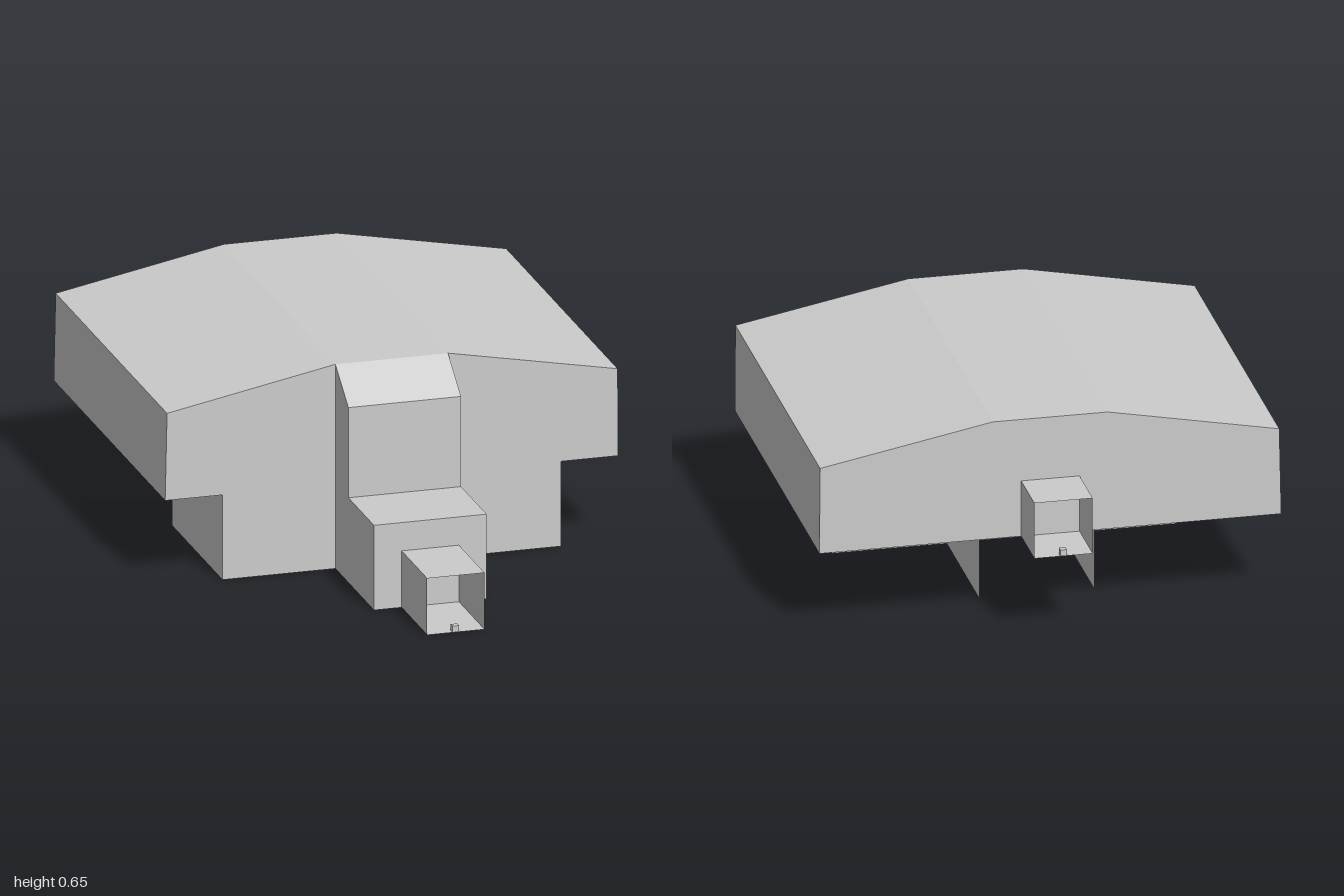
import * as THREE from 'three';

const solid = new THREE.MeshStandardMaterial({ color: 0xcccccc, flatShading: true });
const thin = new THREE.MeshStandardMaterial({ color: 0xcccccc, flatShading: true, side: THREE.DoubleSide });

function extrude(points, depth) {
  const shape = new THREE.Shape(points.map(([x, y]) => new THREE.Vector2(x, y)));
  return new THREE.ExtrudeGeometry(shape, { depth, bevelEnabled: false });
}

// Box given by its limits on each axis
function box(x0, x1, y0, y1, z0, z1) {
  return new THREE.BoxGeometry(x1 - x0, y1 - y0, z1 - z0)
    .translate((x0 + x1) / 2, (y0 + y1) / 2, (z0 + z1) / 2);
}

// Box without its two z faces: a thin square passage
function passage(...limits) {
  const g = box(...limits);
  g.setIndex(Array.from(g.index.array).slice(0, 24));
  return g;
}

export function createModel() {
  const group = new THREE.Group();
  const add = (name, geometry, material = solid) => {
    const mesh = new THREE.Mesh(geometry, material);
    mesh.name = name;
    group.add(mesh);
  };

  const ground = 0, floor = 0.27, front = 0.335, back = -0.82;
  const baseBack = -0.19, rampBack = -0.64, half = 0.177;

  // Main hall with its three-sided roof
  add('mainHall', extrude([
    [-0.712, floor], [0.712, floor], [0.71, 0.547], [half, 0.65], [-half, 0.65], [-0.706, 0.547],
  ], front - back).translate(0, 0, back));

  // Narrower base under the front half
  add('base', box(-0.532, 0.532, ground, floor, baseBack, front));

  // Stepped porch with sloped top, profile in z and y
  add('porch', extrude([
    [front, ground], [0.735, ground], [0.735, floor], [0.47, floor], [0.47, 0.557], [front, 0.65],
  ], half * 2).rotateY(-Math.PI / 2).translate(half, 0, 0));

  // Open entrance passages at front and back, each with a small sill block
  add('frontPassage', passage(-0.09, 0.09, ground, 0.18, 0.735, 1), thin);
  add('backPassage', passage(-0.09, 0.09, floor, 0.45, -1, back), thin);
  add('frontSillBlock', box(-0.01, 0.01, ground, 0.02, 0.98, 1));
  add('backSillBlock', box(-0.01, 0.01, floor, floor + 0.02, -1, -0.98));

  // Sloping ramp underneath, between two thin side walls
  const run = baseBack - rampBack, mid = (baseBack + rampBack) / 2;
  add('underRamp', new THREE.PlaneGeometry(half * 2, Math.hypot(run, floor))
    .rotateX(Math.PI / 2 + Math.atan2(floor, run))
    .translate(0, floor / 2, mid), thin);
  for (const side of [-1, 1]) {
    add(side > 0 ? 'leftRampWall' : 'rightRampWall', new THREE.PlaneGeometry(run, floor)
      .rotateY(side * Math.PI / 2).translate(side * half, floor / 2, mid), thin);
  }

  return group;
}
